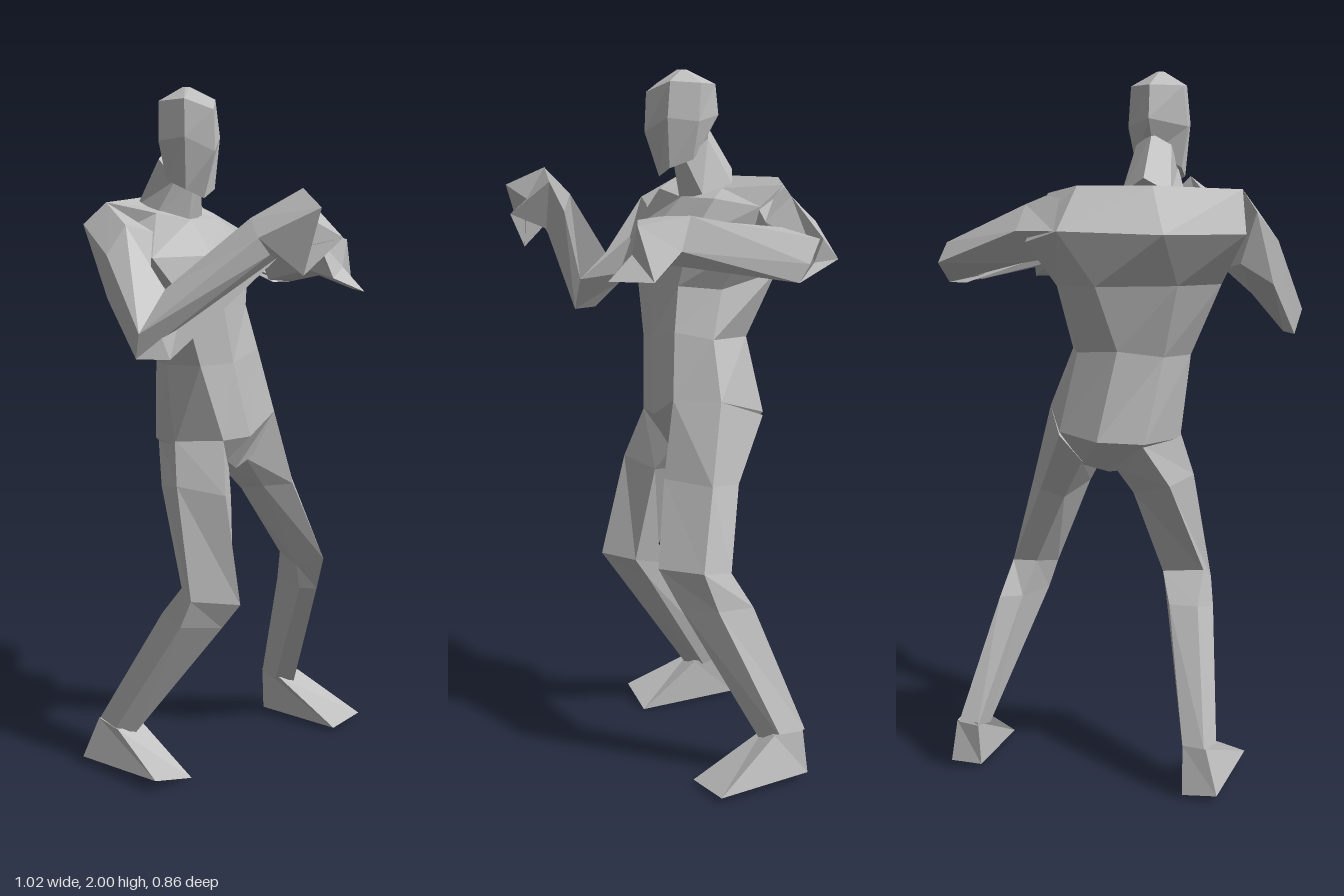
import * as THREE from 'three';

const skin = new THREE.MeshStandardMaterial({ color: 0xbdbdbd });
skin.name = 'plainGrey';
skin.flatShading = true;

// Faceted skin through rings of [x, y, z] points, closed at both ends
function loft(name, rings) {
  const n = rings[0].length, pts = rings.flat(), idx = [];
  rings.slice(1).forEach((_, r) => {
    for (let i = 0; i < n; i++) {
      const a = r * n + i, b = r * n + (i + 1) % n;
      idx.push(a, b, b + n, a, b + n, a + n);
    }
  });
  const cap = (r, flip) => {
    const centre = [0, 1, 2].map(k => rings[r].reduce((s, p) => s + p[k], 0) / n);
    const c = pts.push(centre) - 1;
    for (let i = 0; i < n; i++) {
      const a = r * n + i, b = r * n + (i + 1) % n;
      idx.push(c, ...(flip ? [b, a] : [a, b]));
    }
  };
  cap(0, true);
  cap(rings.length - 1, false);
  // Turn the corners round if the enclosed volume comes out negative
  let volume = 0;
  const v = pts.map(p => new THREE.Vector3(...p));
  for (let i = 0; i < idx.length; i += 3) {
    volume += v[idx[i]].dot(v[idx[i + 1]].clone().cross(v[idx[i + 2]]));
  }
  if (volume < 0) idx.reverse();
  const indexed = new THREE.BufferGeometry().setFromPoints(v);
  indexed.setIndex(idx);
  const geo = indexed.toNonIndexed();
  geo.computeVertexNormals();
  const mesh = new THREE.Mesh(geo, skin);
  mesh.name = name;
  return mesh;
}

// Six-point mirrored head ring: front, side front, side back, back as [half width, y, z]
function headRing(front, sideFront, sideBack, back) {
  const at = ([w, y, z], s) => [-0.15 + s * w, y, z];
  return [at(front, 1), at(sideFront, 1), at(sideBack, 1), at(back, 1), at(sideBack, -1), at(sideFront, -1)];
}

export function createModel() {
  const g = new THREE.Group();
  g.name = 'fighterFigure';

  // Torso from crotch to shoulders; rings start at the front and go round by the left
  g.add(loft('torso', [
    [[-.03, .9, -.03], [.04, .93, -.03], [.1, .92, -.12], [.04, .91, -.22], [-.03, .89, -.2], [-.09, .9, -.2], [-.13, .92, -.1], [-.08, .93, -.02]],
    [[-.02, 1, .02], [.1, 1.06, 0], [.175, 1.06, -.12], [.09, 1.01, -.28], [-.03, .99, -.31], [-.15, .98, -.25], [-.21, .98, -.1], [-.13, 1, .02]],
    [[-.08, 1.22, .01], [.05, 1.25, -.02], [.105, 1.23, -.12], [.05, 1.23, -.24], [-.08, 1.24, -.28], [-.19, 1.22, -.2], [-.24, 1.22, -.1], [-.2, 1.22, 0]],
    [[-.12, 1.4, .01], [.02, 1.38, -.04], [.06, 1.37, -.16], [.08, 1.42, -.32], [-.04, 1.42, -.35], [-.24, 1.42, -.24], [-.33, 1.42, -.11], [-.27, 1.42, 0]],
    [[-.14, 1.53, -.01], [.05, 1.51, -.06], [.125, 1.5, -.21], [.14, 1.54, -.4], [.04, 1.57, -.43], [-.23, 1.56, -.345], [-.42, 1.56, -.2], [-.36, 1.53, -.02]],
    [[-.14, 1.63, -.1], [.02, 1.63, -.15], [.13, 1.61, -.25], [.1, 1.67, -.33], [.01, 1.69, -.35], [-.18, 1.69, -.28], [-.4, 1.68, -.165], [-.29, 1.65, -.08]],
  ]));

  // Neck and head
  g.add(loft('neck', [
    headRing([0, 1.62, -.1], [.09, 1.64, -.14], [.07, 1.67, -.24], [0, 1.71, -.265]),
    headRing([0, 1.73, -.08], [.05, 1.74, -.1], [.05, 1.8, -.17], [0, 1.83, -.19]),
  ]));
  g.add(loft('head', [
    headRing([0, 1.69, -.035], [.056, 1.715, -.05], [.065, 1.74, -.12], [0, 1.78, -.17]),
    headRing([0, 1.82, .01], [.068, 1.86, -.04], [.086, 1.85, -.13], [0, 1.87, -.22]),
    headRing([0, 1.935, .005], [.06, 1.965, -.05], [.075, 1.96, -.14], [0, 1.96, -.21]),
    headRing([0, 2, -.09], [.01, 2, -.1], [.01, 2, -.11], [0, 2, -.12]),
  ]));

  // Right arm, raised in front of the chin
  const rightElbow = [[-.39, 1.45, .065], [-.515, 1.34, .1], [-.5, 1.27, .07], [-.45, 1.27, .15], [-.38, 1.37, .15]];
  g.add(loft('rightUpperArm', [
    [[-.4, 1.68, -.165], [-.45, 1.62, -.205], [-.4, 1.48, -.18], [-.33, 1.46, -.08], [-.33, 1.6, -.05]],
    [[-.42, 1.62, -.06], [-.48, 1.54, -.07], [-.47, 1.42, -.08], [-.4, 1.39, -.04], [-.375, 1.5, -.01]],
    rightElbow,
  ]));
  const rightWrist = [[-.22, 1.64, .22], [-.255, 1.59, .285], [-.225, 1.545, .3], [-.19, 1.54, .3], [-.17, 1.59, .25]];
  g.add(loft('rightForearm', [rightElbow, rightWrist]));
  g.add(loft('rightHand', [
    rightWrist,
    [[-.12, 1.72, .32], [-.16, 1.67, .425], [-.17, 1.49, .37], [-.08, 1.59, .43], [-.08, 1.68, .315]],
  ]));

  // Left arm, elbow drawn back and forearm pointing forward
  const leftElbow = [[.4, 1.535, -.33], [.37, 1.5, -.31], [.37, 1.42, -.27], [.43, 1.42, -.25], [.41, 1.48, -.37]];
  g.add(loft('leftUpperArm', [
    [[.06, 1.68, -.335], [.12, 1.61, -.245], [.11, 1.5, -.22], [.12, 1.49, -.34], [.05, 1.57, -.425]],
    [[.165, 1.64, -.33], [.17, 1.57, -.25], [.17, 1.49, -.24], [.18, 1.48, -.33], [.165, 1.57, -.405]],
    leftElbow,
  ]));
  const leftWrist = [[.255, 1.595, 0], [.17, 1.59, .06], [.18, 1.48, .06], [.24, 1.46, .05], [.285, 1.5, .035]];
  g.add(loft('leftForearm', [
    [[.4, 1.535, -.32], [.27, 1.56, -.26], [.33, 1.43, -.25], [.43, 1.42, -.25], [.43, 1.47, -.28]],
    leftWrist,
  ]));
  g.add(loft('leftHand', [
    leftWrist,
    [[.25, 1.57, .15], [.15, 1.58, .12], [.17, 1.46, .17], [.24, 1.42, .23], [.31, 1.42, .12]],
  ]));

  // Right leg
  const rightKnee = [[-.27, .55, .03], [-.18, .545, .14], [-.12, .53, .05], [-.14, .57, -.03], [-.26, .58, -.02]];
  g.add(loft('rightThigh', [
    [[-.21, 1, -.1], [-.13, 1, .02], [-.04, .9, -.05], [-.05, .9, -.2], [-.14, .98, -.25]],
    [[-.24, .87, -.06], [-.17, .85, .07], [-.08, .82, 0], [-.08, .82, -.13], [-.2, .85, -.17]],
    rightKnee,
  ]));
  g.add(loft('rightShin', [
    rightKnee,
    [[-.285, .47, 0], [-.2, .47, .085], [-.145, .46, 0], [-.18, .49, -.1], [-.265, .49, -.1]],
    [[-.355, .12, -.22], [-.31, .12, -.17], [-.265, .12, -.22], [-.275, .14, -.29], [-.34, .14, -.3]],
  ]));
  g.add(loft('rightFoot', [
    [[-.355, .13, -.2], [-.265, .13, -.19], [-.275, .14, -.29], [-.345, .14, -.3]],
    [[-.385, .035, 0], [-.235, 0, -.01], [-.285, .01, -.325], [-.385, .02, -.33]],
  ]));

  // Left leg, stepped out to the side
  const leftKnee = [[.23, .6, .085], [.325, .6, -.02], [.3, .59, -.11], [.23, .59, -.1], [.2, .57, 0]];
  g.add(loft('leftThigh', [
    [[.1, 1.06, 0], [.175, 1.06, -.12], [.09, 1, -.28], [.04, .92, -.23], [.03, .92, -.05]],
    [[.14, .84, .04], [.25, .83, -.07], [.19, .82, -.17], [.12, .8, -.16], [.085, .83, -.03]],
    leftKnee,
  ]));
  g.add(loft('leftShin', [
    leftKnee,
    [[.26, .49, .03], [.335, .49, -.06], [.32, .49, -.17], [.26, .49, -.14], [.225, .49, -.01]],
    [[.37, .12, -.17], [.42, .13, -.22], [.4, .14, -.3], [.345, .13, -.29], [.335, .12, -.22]],
  ]));
  g.add(loft('leftFoot', [
    [[.335, .13, -.2], [.42, .14, -.2], [.41, .14, -.29], [.345, .14, -.29]],
    [[.355, .01, .02], [.51, .015, -.01], [.425, .02, -.3], [.34, .01, -.28]],
  ]));

  return g;
}
